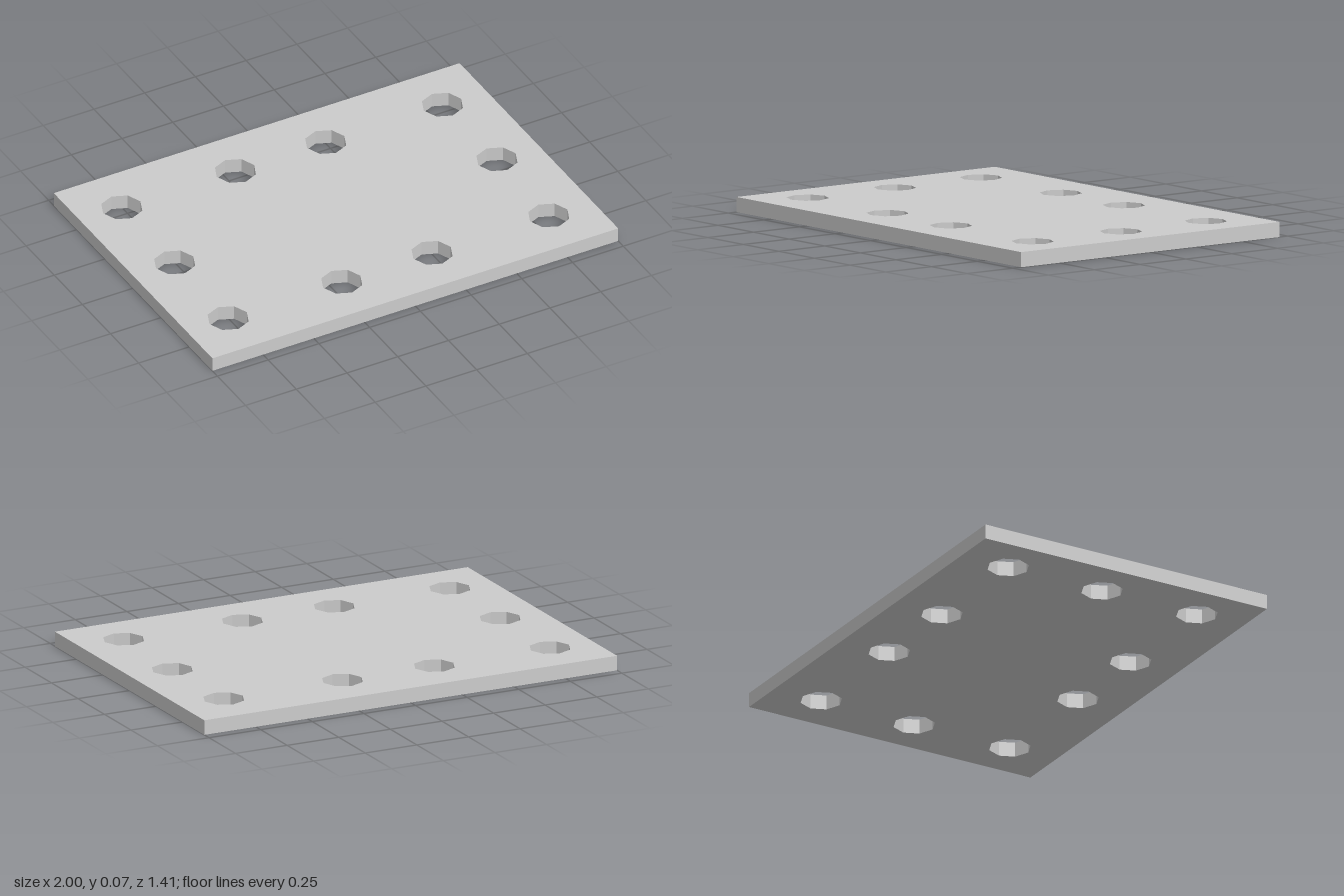
import * as THREE from 'three';

const HALF_WIDTH = 1, HALF_DEPTH = 0.705, THICKNESS = 0.066, HOLE_RADIUS = 0.092;

// Octagonal hole with its corners on the axes
function octagon(x, z) {
  const points = [];
  for (let i = 0; i < 8; i++) {
    const a = -i * Math.PI / 4;
    points.push(new THREE.Vector2(x + HOLE_RADIUS * Math.cos(a), -z + HOLE_RADIUS * Math.sin(a)));
  }
  return new THREE.Path(points);
}

export function createModel() {
  const group = new THREE.Group();
  group.name = 'perforatedPlate';

  // Rectangular outline
  const outline = new THREE.Shape([
    new THREE.Vector2(-HALF_WIDTH, -HALF_DEPTH),
    new THREE.Vector2(HALF_WIDTH, -HALF_DEPTH),
    new THREE.Vector2(HALF_WIDTH, HALF_DEPTH),
    new THREE.Vector2(-HALF_WIDTH, HALF_DEPTH),
  ]);

  // Four holes along the back and front edges, one at the middle of each side
  for (const z of [-0.47, 0.475]) {
    for (const x of [-0.795, -0.235, 0.21, 0.785]) outline.holes.push(octagon(x, z));
  }
  for (const x of [-0.795, 0.793]) outline.holes.push(octagon(x, 0));

  // Lay the extruded plate flat on the ground
  const geometry = new THREE.ExtrudeGeometry(outline, { depth: THICKNESS, bevelEnabled: false });
  geometry.rotateX(-Math.PI / 2);

  const plate = new THREE.Mesh(geometry, new THREE.MeshStandardMaterial({ color: 0xcccccc, flatShading: true }));
  plate.name = 'plate';
  group.add(plate);
  return group;
}
